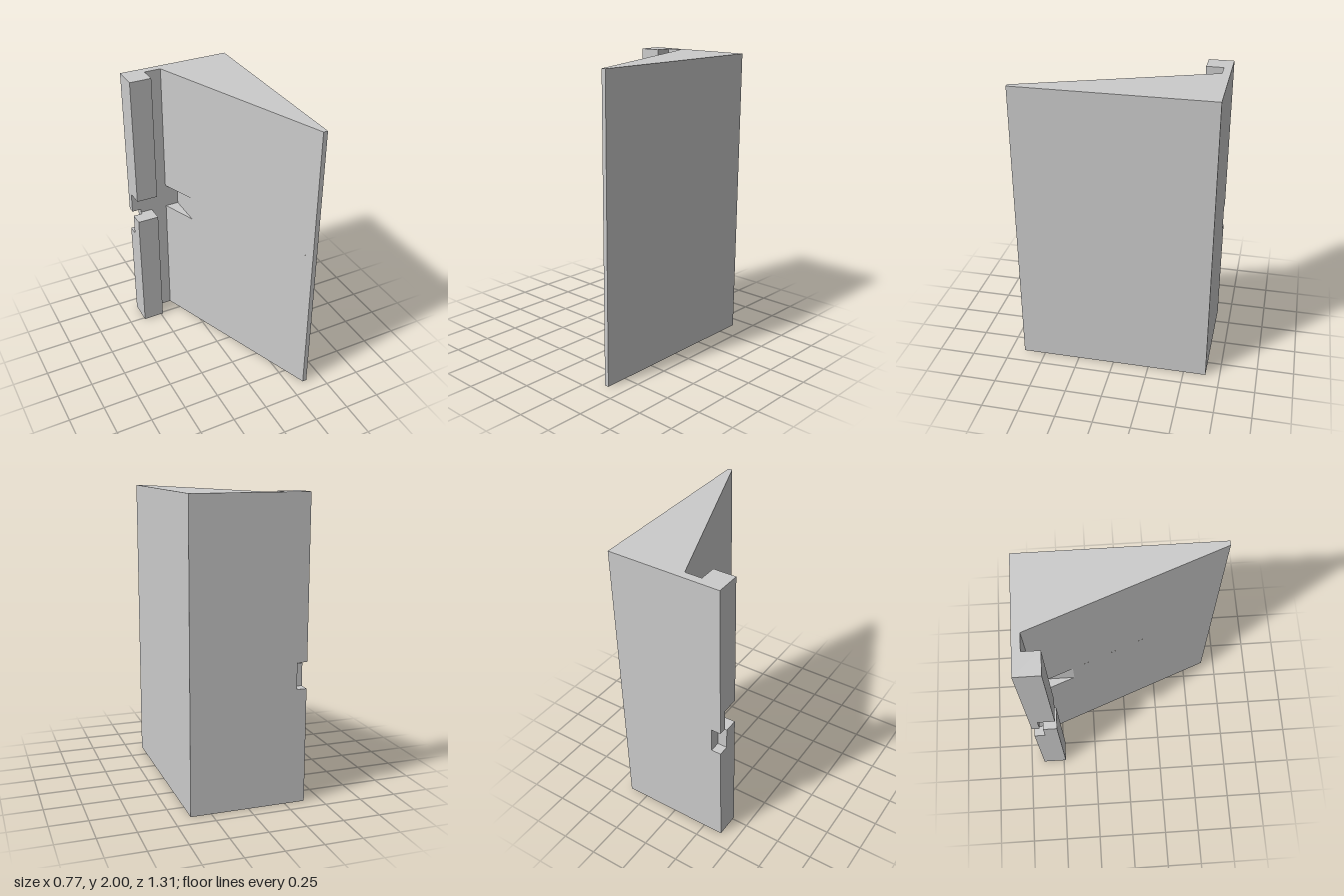
import * as THREE from 'three';
import { mergeGeometries } from 'three/addons/utils/BufferGeometryUtils.js';

// Plan outline, [x, z]
const X = 0.387, Z = 0.653;
const tip = [[0.357, Z], [X, Z], [X, -Z]];
const lip = [[-X, -0.485], [-0.235, -0.485], [-0.235, -0.6], [-0.12, -0.6]];
const slot = [[-0.025, -0.6], [-0.025, -0.35]];

const full = [...tip, [-X, -Z], ...lip];
const backNotched = [...tip, [-0.32, -Z], [-0.32, -0.58], [-X, -0.58], ...lip];
const bothCut = [...tip, [-0.32, -Z], [-0.32, -0.6], ...slot];
const frontCut = [...tip, [-X, -Z], [-X, -0.6], ...slot];

// Upright walls following a closed outline
function walls(outline, y0, y1) {
  const pos = [];
  outline.forEach(([ax, az], i) => {
    const [bx, bz] = outline[(i + 1) % outline.length];
    pos.push(ax, y0, az, bx, y0, bz, bx, y1, bz, ax, y0, az, bx, y1, bz, ax, y1, az);
  });
  const g = new THREE.BufferGeometry();
  g.setAttribute('position', new THREE.Float32BufferAttribute(pos, 3));
  g.computeVertexNormals();
  return g;
}

// Flat horizontal face, facing up (1) or down (-1)
function cap(outline, y, dir) {
  const shape = new THREE.Shape(outline.map(([x, z]) => new THREE.Vector2(x, -dir * z)));
  const g = new THREE.ShapeGeometry(shape).toNonIndexed();
  g.deleteAttribute('uv');
  return g.rotateX(-dir * Math.PI / 2).translate(0, y, 0);
}

function rect(x0, x1, z0, z1) {
  return [[x0, z0], [x0, z1], [x1, z1], [x1, z0]];
}

export function createModel() {
  const group = new THREE.Group();
  const material = new THREE.MeshStandardMaterial({ color: 0xcccccc, flatShading: true });
  const add = (name, parts) => {
    const mesh = new THREE.Mesh(mergeGeometries(parts), material);
    mesh.name = name;
    group.add(mesh);
  };

  // Heights of the overlapping back notch and front slot
  const backLow = 0.765, backHigh = 0.94, slotLow = 0.915, slotHigh = 1.09;
  const wedgeTip = [[-0.12, -0.6], [-0.025, -0.35], [-0.025, -0.6]];

  // Wedge-shaped bar with its back plate and hooked lip
  add('wedgeBar', [
    walls(full, 0, backLow),
    walls(backNotched, backLow, slotLow),
    walls(bothCut, slotLow, backHigh),
    walls(frontCut, backHigh, slotHigh),
    walls(full, slotHigh, 2),
    cap(full, 0, -1),
    cap(full, 2, 1),
  ]);

  // Floor and ceiling of the slot across lip and wedge
  add('frontSlotLedges', [
    cap([[-0.32, -0.6], [-0.32, -0.58], [-X, -0.58], ...lip.slice(0, 3)], slotLow, 1),
    cap(wedgeTip, slotLow, 1),
    cap(rect(-X, -0.235, -0.6, -0.485), slotHigh, -1),
    cap(wedgeTip, slotHigh, -1),
  ]);

  // Floor and ceiling of the notch in the rear corner
  add('backNotchLedges', [
    cap(rect(-X, -0.32, -Z, -0.58), backLow, 1),
    cap(rect(-X, -0.32, -Z, -0.6), backHigh, -1),
  ]);

  return group;
}
